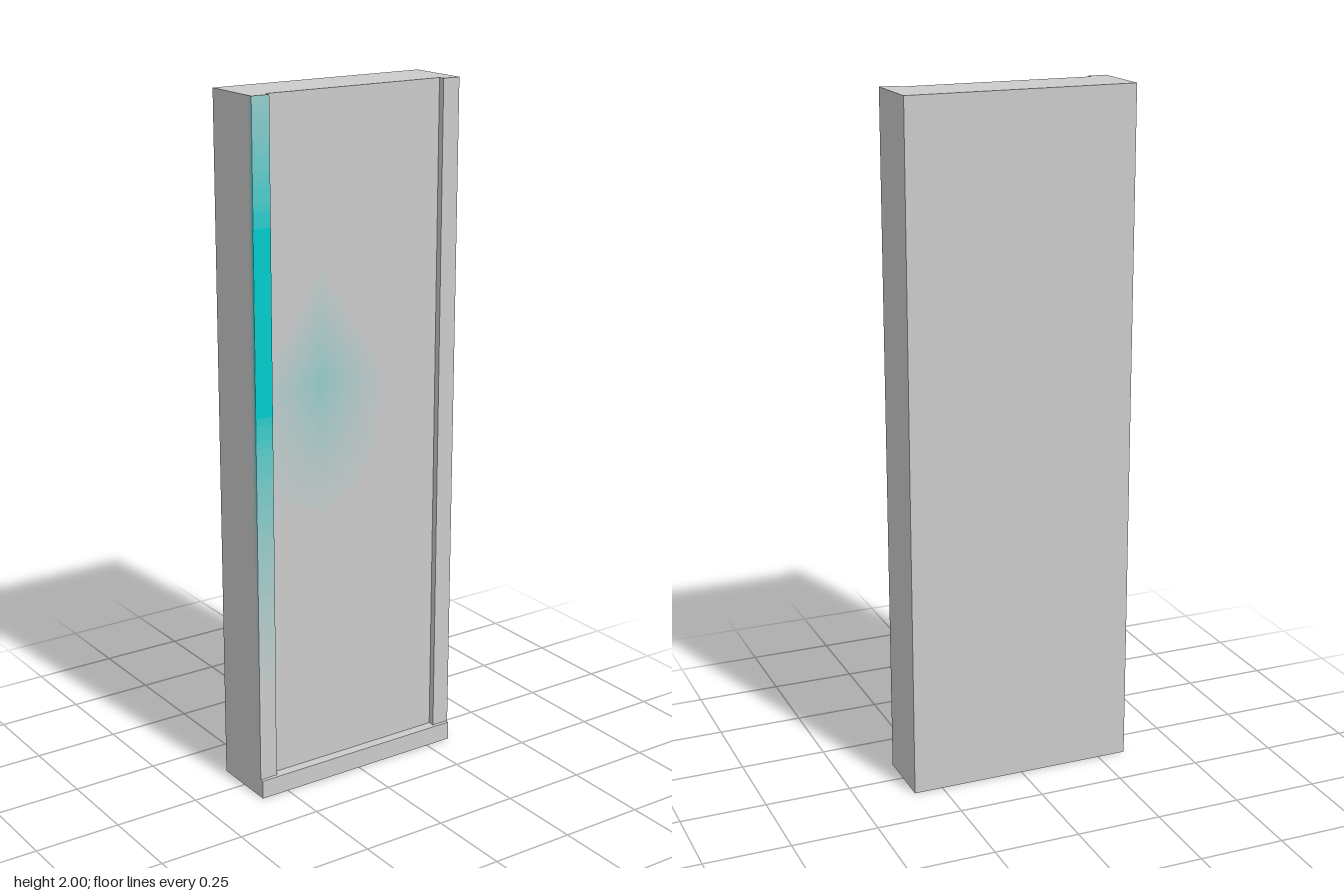
import * as THREE from 'three';
import { mergeGeometries } from 'three/addons/utils/BufferGeometryUtils.js';

const H = 2, W = 0.335, BACK = -0.102, PANEL = 0.071, STILE = 0.09, FRONT = 0.101;
const INNER = 0.281, SILL = 0.055;
const GREY = new THREE.Color(0xcccccc), TEAL = new THREE.Color(0x00cccc);
const LEVELS = 24;

function addMesh(parent, name, geometry, color = GREY) {
  const mesh = new THREE.Mesh(geometry, new THREE.MeshStandardMaterial({ color }));
  mesh.name = name;
  parent.add(mesh);
  return mesh;
}

// Thin paint layer: small cells, gathered into one mesh per tint strength
function paint(name, x0, x1, y0, y1, cols, rows, strengthAt) {
  const group = new THREE.Group();
  group.name = name;
  const w = (x1 - x0) / cols, h = (y1 - y0) / rows;
  const buckets = new Map();
  for (let r = 0; r < rows; r++) {
    for (let c = 0; c < cols; c++) {
      const x = x0 + (c + 0.5) * w, y = y0 + (r + 0.5) * h;
      const level = Math.round(strengthAt(x, y) * LEVELS);
      if (level <= 0) continue;
      if (!buckets.has(level)) buckets.set(level, []);
      buckets.get(level).push(new THREE.PlaneGeometry(w, h).translate(x, y, 0));
    }
  }
  for (const [level, cells] of buckets) {
    addMesh(group, name + 'Tint', mergeGeometries(cells), GREY.clone().lerp(TEAL, level / LEVELS));
  }
  return group;
}

// Tint along the height of the stile
function stileTint(y) {
  const keys = [[0.3, 0], [0.8, 0.5], [1.15, 1], [1.65, 1], [2, 0.5]];
  for (let i = 1; i < keys.length; i++) {
    const [ya, a] = keys[i - 1], [yb, b] = keys[i];
    if (y >= ya && y <= yb) return THREE.MathUtils.mapLinear(y, ya, yb, a, b);
  }
  return 0;
}

// Pointed patch on the panel, fading outwards
function panelTint(x, y) {
  const u = Math.abs(x + 0.11) / 0.2;
  if (y > 1.2) return 0.5 * Math.max(0, 1 - 0.85 * u - (y - 1.2) / 0.36);
  return 0.5 * Math.max(0, 1 - 0.85 * u) * Math.max(0, 1 - (1.2 - y) / 0.42);
}

export function createModel() {
  const model = new THREE.Group();
  model.name = 'panelFrame';

  // Slab with a raised stile on each side, drawn as a plan and extruded upwards
  const plan = new THREE.Shape([
    [-W, -BACK], [-W, -STILE], [-INNER, -STILE], [-INNER, -PANEL],
    [INNER, -PANEL], [INNER, -STILE], [W, -STILE], [W, -BACK],
  ].map(([x, y]) => new THREE.Vector2(x, y)));
  const slab = new THREE.ExtrudeGeometry(plan, { depth: H, bevelEnabled: false });
  addMesh(model, 'panelWithStiles', slab.rotateX(-Math.PI / 2));

  // Sill across the foot
  const sillDepth = FRONT - PANEL;
  const sill = new THREE.BoxGeometry(W + 0.331, SILL, sillDepth);
  addMesh(model, 'sill', sill).position.set(-0.002, SILL / 2, PANEL + sillDepth / 2);

  // Painted fades on the stile front, its outer edge and the panel
  const lift = 0.0008;
  const stileFront = paint('stilePaint', -W, -INNER, SILL, H, 1, 90, (x, y) => stileTint(y));
  stileFront.position.z = STILE + lift;
  const stileEdge = paint('stileEdgePaint', PANEL, STILE, SILL, H, 4, 60,
    (z, y) => stileTint(y) * (z - PANEL) / (STILE - PANEL));
  stileEdge.rotation.y = -Math.PI / 2;
  stileEdge.position.x = -W - lift;
  const patch = paint('panelPaint', -INNER, 0.13, 0.78, 1.58, 28, 50, panelTint);
  patch.position.z = PANEL + lift;
  model.add(stileFront, stileEdge, patch);

  return model;
}
